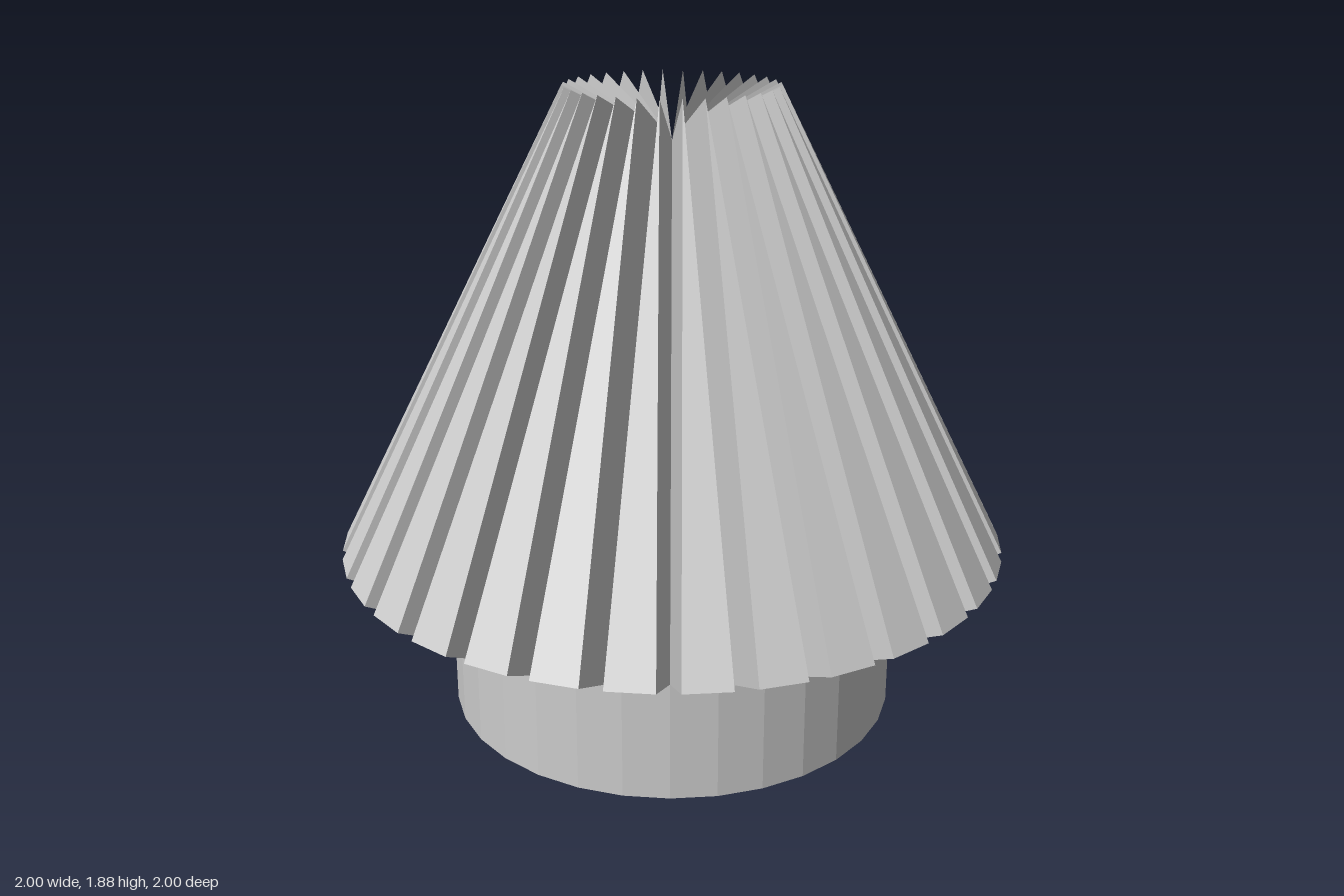
import * as THREE from 'three';

const COUNT = 32;
const BASE_R = 0.68, BASE_H = 0.36;

// One wedge-shaped fin pointing along +x, with constant-width grooves either side
function finGeometry() {
  const half = BASE_R * Math.sin(Math.PI / COUNT);
  const inX = BASE_R * Math.cos(Math.PI / COUNT);
  const rimX = Math.sqrt(1 - half * half);
  const inL = [inX, BASE_H, half], inR = [inX, BASE_H, -half];
  const rimL = [rimX, 0.515, half], rimR = [rimX, 0.515, -half];
  const tip = [0.31, 1.88, 0];
  const apex = [0, 1.72, 0];
  const quad = (a, b, c, d) => [a, b, c, a, c, d];
  const corners = [
    rimL, rimR, tip,                  // sloping outer face
    ...quad(inL, rimL, tip, apex),    // groove walls
    ...quad(inR, apex, tip, rimR),
    ...quad(inL, inR, rimR, rimL),    // underside
  ];
  const geo = new THREE.BufferGeometry();
  geo.setAttribute('position', new THREE.Float32BufferAttribute(corners.flat(), 3));
  geo.computeVertexNormals();
  return geo;
}

export function createModel() {
  const model = new THREE.Group();
  model.name = 'finnedCone';
  const material = new THREE.MeshStandardMaterial({ color: 0xcccccc, flatShading: true });

  // Round base, closed underneath and covered by the fins
  const profile = [[0, 0], [BASE_R, 0], [BASE_R, BASE_H]].map(([r, y]) => new THREE.Vector2(r, y));
  const base = new THREE.Mesh(new THREE.LatheGeometry(profile, COUNT), material);
  base.name = 'base';
  model.add(base);

  // Ring of fins, with a groove on each main axis
  const fins = new THREE.Group();
  fins.name = 'fins';
  const geo = finGeometry();
  for (let i = 0; i < COUNT; i++) {
    const fin = new THREE.Mesh(geo, material);
    fin.name = 'fin';
    fin.rotation.y = ((i + 0.5) / COUNT) * Math.PI * 2;
    fins.add(fin);
  }
  model.add(fins);
  return model;
}
